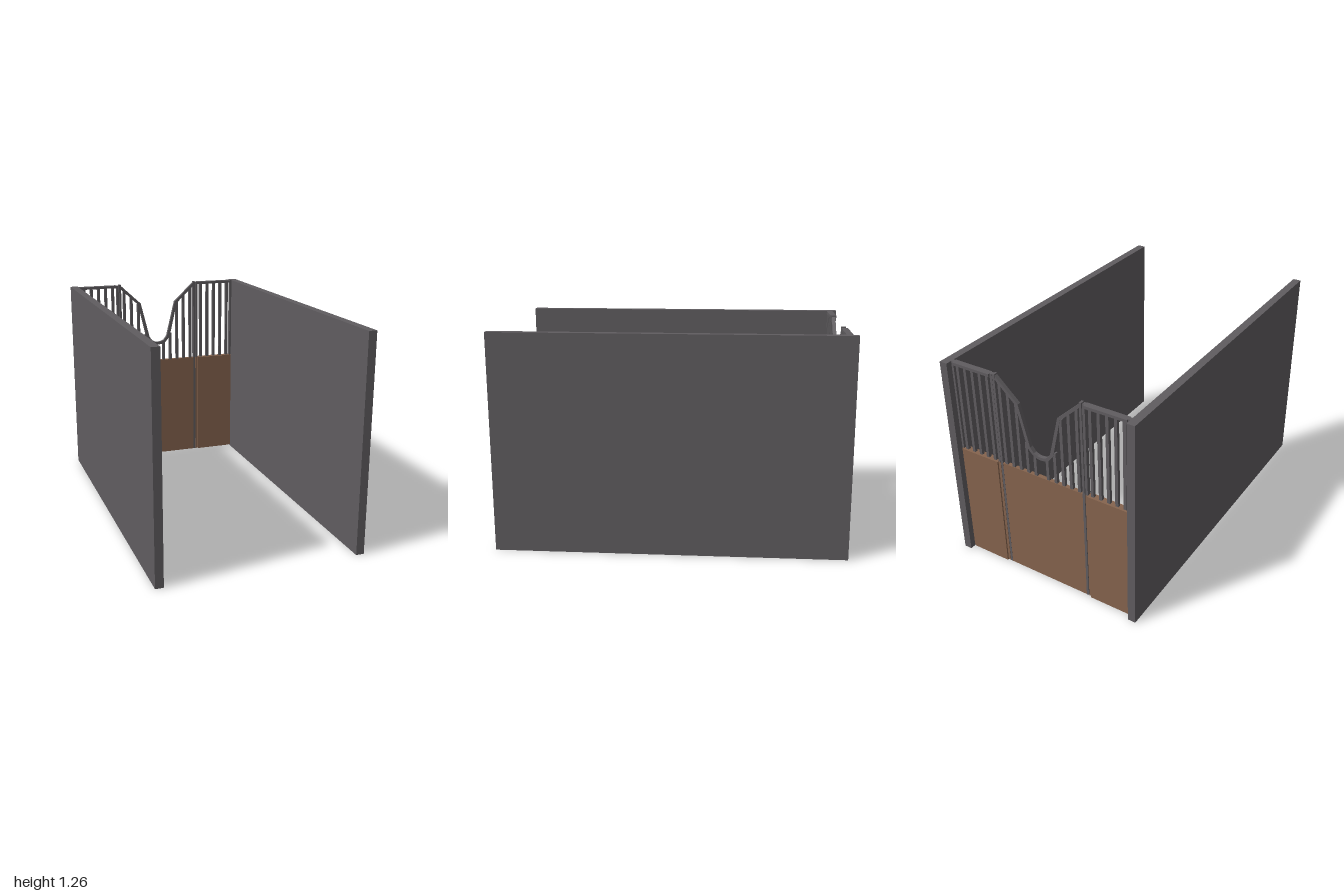
import * as THREE from 'three';

export function createModel() {
  const model = new THREE.Group();
  model.name = 'stall';
  const mat = (name, color) => {
    const m = new THREE.MeshStandardMaterial({ color });
    m.name = name;
    return m;
  };
  const steel = mat('grey steel', 0x605d60);
  const wood = mat('brown wood', 0x86644e);
  const Z = -0.953; // centre plane of the stall front

  // Box given by its x and y limits, depth and centre z
  const box = (parent, name, material, x0, x1, y0, y1, depth, z = Z) => {
    const mesh = new THREE.Mesh(new THREE.BoxGeometry(Math.abs(x1 - x0), y1 - y0, depth), material);
    mesh.position.set((x0 + x1) / 2, (y0 + y1) / 2, z);
    mesh.name = name;
    parent.add(mesh);
  };

  const door = new THREE.Group();
  door.name = 'door';
  model.add(door);

  for (const s of [1, -1]) {
    const side = s > 0 ? 'left' : 'right';

    // Long side wall
    box(model, side + 'Wall', steel, s * 0.553, s * 0.6, 0, 1.256, 2, 0);

    // Fixed front panel: boards, thin edge strips, frame and bars
    const panel = new THREE.Group();
    panel.name = side + 'FrontPanel';
    model.add(panel);
    box(panel, 'boards', wood, s * 0.294, s * 0.54, 0.01, 0.71, 0.042);
    for (const [a, b] of [[0.279, 0.294], [0.54, 0.553]]) {
      box(panel, 'edgeStrip', wood, s * a, s * b, 0.01, 0.71, 0.024);
      box(panel, 'framePost', steel, s * a, s * b, 0.71, 1.256, 0.022);
    }
    box(panel, 'topRail', steel, s * 0.294, s * 0.54, 1.24, 1.256, 0.036, Z - 0.003);
    for (let i = 0; i < 5; i++) {
      const x = 0.32 + i * 0.0495;
      box(panel, 'bar', steel, s * (x - 0.009), s * (x + 0.009), 0.71, 1.24, 0.018);
    }

    // Door stile and bars up to the curved rail
    box(door, 'stile', steel, s * 0.262, s * 0.276, 0.01, 1.26, 0.026);
    [[0.04, 0.838], [0.09, 0.9], [0.14, 1.12], [0.19, 1.17], [0.24, 1.22]].forEach(([x, top]) =>
      box(door, 'bar', steel, s * (x - 0.009), s * (x + 0.009), 0.71, top, 0.018));
  }

  // Door boards
  box(door, 'boards', wood, -0.262, 0.262, 0.01, 0.71, 0.024);

  // Door top rail dipping in the middle
  const upper = [[0.27, 1.26], [0.124, 1.124], [0.064, 0.882], [0.042, 0.853], [0.02, 0.843], [0, 0.841]];
  const lower = [[0.27, 1.236], [0.139, 1.114], [0.084, 0.876], [0.053, 0.84], [0.024, 0.826], [0, 0.823]];
  const mirror = (pts) => pts.slice(0, -1).reverse().map(([x, y]) => [-x, y]);
  const up = [...upper, ...mirror(upper)];
  const low = [...lower, ...mirror(lower)].reverse();
  const shape = new THREE.Shape([...up, ...low].map(([x, y]) => new THREE.Vector2(x, y)));
  const railGeometry = new THREE.ExtrudeGeometry(shape, { depth: 0.022, bevelEnabled: false });
  const rail = new THREE.Mesh(railGeometry, steel);
  rail.position.z = Z - 0.011;
  rail.name = 'curvedTopRail';
  door.add(rail);

  return model;
}
